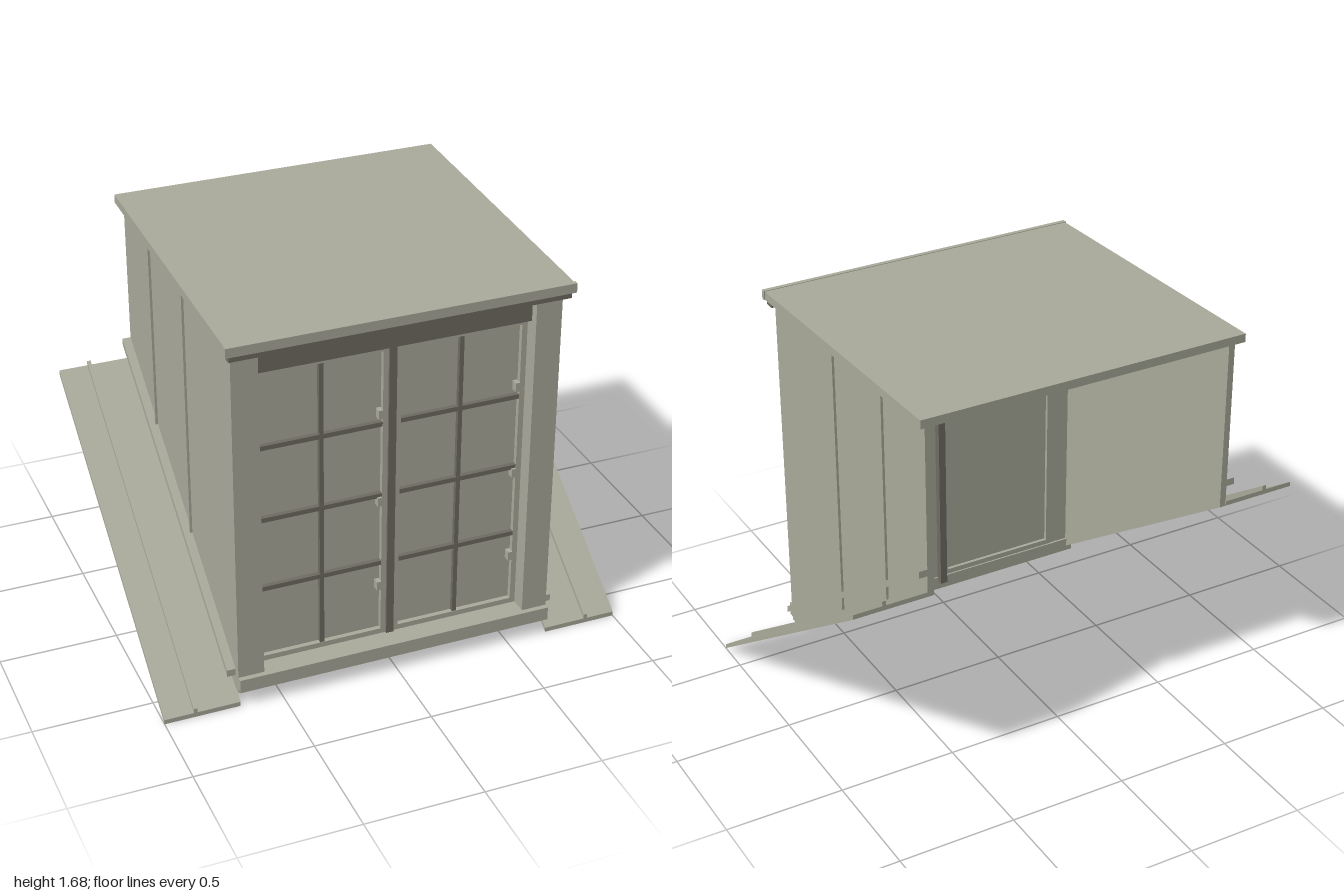
import * as THREE from 'three';

const body = new THREE.MeshStandardMaterial({ color: 0xaaab9b });
body.name = 'grey green metal';
const dark = new THREE.MeshStandardMaterial({ color: 0x6f6c62 });
dark.name = 'dark timber';

// Box given by its limits on each axis
function box(name, mat, x0, x1, y0, y1, z0, z1) {
  const m = new THREE.Mesh(new THREE.BoxGeometry(x1 - x0, y1 - y0, z1 - z0), mat);
  m.position.set((x0 + x1) / 2, (y0 + y1) / 2, (z0 + z1) / 2);
  m.name = name;
  return m;
}

// Side outline in [z, y] extruded from x0 to x1
function prism(name, mat, points, x0, x1) {
  const shape = new THREE.Shape(points.map(([z, y]) => new THREE.Vector2(z, y)));
  const g = new THREE.ExtrudeGeometry(shape, { depth: x1 - x0, bevelEnabled: false });
  g.rotateY(-Math.PI / 2);
  g.translate(x1, 0, 0);
  const m = new THREE.Mesh(g, mat);
  m.name = name;
  return m;
}

// Height of the main roof slope, and of the dormer roof underside
const slope = z => (0.65 - z) * 0.692;
const eave = z => 1.605 + (0.685 - z) * 0.032;

// Strip lying parallel to the main roof slope
function slopeStrip(name, x0, x1, zBack, zFront, low, high) {
  return prism(name, body, [
    [zFront, slope(zFront) + low], [zFront, slope(zFront) + high],
    [zBack, slope(zBack) + high], [zBack, slope(zBack) + low],
  ], x0, x1);
}

function makeSide(s) {
  const side = new THREE.Group();
  side.name = s > 0 ? 'leftSide' : 'rightSide';
  const X = (a, b) => (s > 0 ? [a, b] : [-b, -a]);

  // Cheek wall with standing seams
  side.add(prism('cheekWall', body, [
    [0.635, 0.055], [0.635, eave(0.635)], [-0.66, eave(-0.66)],
    [-0.66, slope(-0.66)], [0.57, 0.055],
  ], ...X(0.655, 0.682)));
  for (const z of [0.098, -0.319]) {
    side.add(prism('wallSeam', body, [
      [z + 0.006, slope(z) + 0.036], [z + 0.006, eave(z)],
      [z - 0.006, eave(z)], [z - 0.006, slope(z) + 0.036],
    ], ...X(0.68, 0.692)));
  }

  // Flashing on the slope, its raised seam and the cover strip
  side.add(slopeStrip('flashing', ...X(0.68, 1), -0.665, 0.65, 0, 0.02));
  side.add(slopeStrip('flashingSeam', ...X(0.861, 0.877), -0.665, 0.65, 0.015, 0.04));
  side.add(slopeStrip('coverStrip', ...X(0.68, 0.718), -0.66, 0.605, 0.092, 0.122));

  // Corner post
  const [p0, p1] = X(0.572, 0.682);
  side.add(box('cornerPost', body, p0, p1, 0.13, 1.6, 0.525, 0.637));
  return side;
}

function makeSash(x0) {
  const sash = new THREE.Group();
  sash.name = 'windowSash';
  const x1 = x0 + 0.557, b = 0.023;
  const y0 = 0.13, y1 = 1.47, z0 = 0.522, z1 = 0.566;

  // Frame with an open middle
  const outline = new THREE.Shape([
    [x0, y0], [x1, y0], [x1, y1], [x0, y1]].map(p => new THREE.Vector2(...p)));
  outline.holes.push(new THREE.Path([
    [x0 + b, y0 + b], [x0 + b, y1 - b - 0.006], [x1 - b, y1 - b - 0.006], [x1 - b, y0 + b],
  ].map(p => new THREE.Vector2(...p))));
  const frame = new THREE.Mesh(
    new THREE.ExtrudeGeometry(outline, { depth: z1 - z0, bevelEnabled: false }), body);
  frame.position.z = z0;
  frame.name = 'sashFrame';
  sash.add(frame);

  // Pane and glazing bars
  sash.add(box('pane', body, x0 + 0.01, x1 - 0.01, y0 + 0.01, y1 - 0.01, 0.537, 0.545));
  const mid = (x0 + x1) / 2;
  sash.add(box('glazingBar', dark, mid - 0.009, mid + 0.009, y0 + b, y1 - b, 0.545, 0.564));
  for (const y of [0.475, 0.795, 1.12]) {
    sash.add(box('glazingBar', dark, x0 + b, x1 - b, y - 0.01, y + 0.01, 0.545, 0.565));
  }

  // Hinges
  for (const y of [0.37, 0.77, 1.168]) {
    sash.add(box('hinge', body, x1 - 0.044, x1 - 0.025, y - 0.02, y + 0.02, 0.545, 0.575));
  }
  return sash;
}

export function createModel() {
  const dormer = new THREE.Group();
  dormer.name = 'dormer';
  for (const s of [1, -1]) dormer.add(makeSide(s));

  // Windows, mullion, lintel and sill
  dormer.add(makeSash(-0.572), makeSash(0.015));
  dormer.add(box('mullion', dark, -0.016, 0.016, 0.11, 1.47, 0.49, 0.575));
  dormer.add(box('lintel', dark, -0.572, 0.572, 1.47, 1.6, 0.52, 0.6));
  dormer.add(box('sill', body, -0.682, 0.682, 0.07, 0.13, 0.515, 0.66));

  // Roof, front lip and the trim below it
  dormer.add(prism('roof', body, [
    [0.68, eave(0.68)], [0.68, eave(0.68) + 0.037],
    [-0.685, 1.685], [-0.685, eave(-0.685)],
  ], -0.712, 0.712));
  dormer.add(box('roofLip', body, -0.716, 0.716, 1.605, 1.645, 0.665, 0.685));
  dormer.add(box('eaveTrim', dark, -0.7, 0.7, 1.58, 1.606, 0.632, 0.675));
  return dormer;
}
